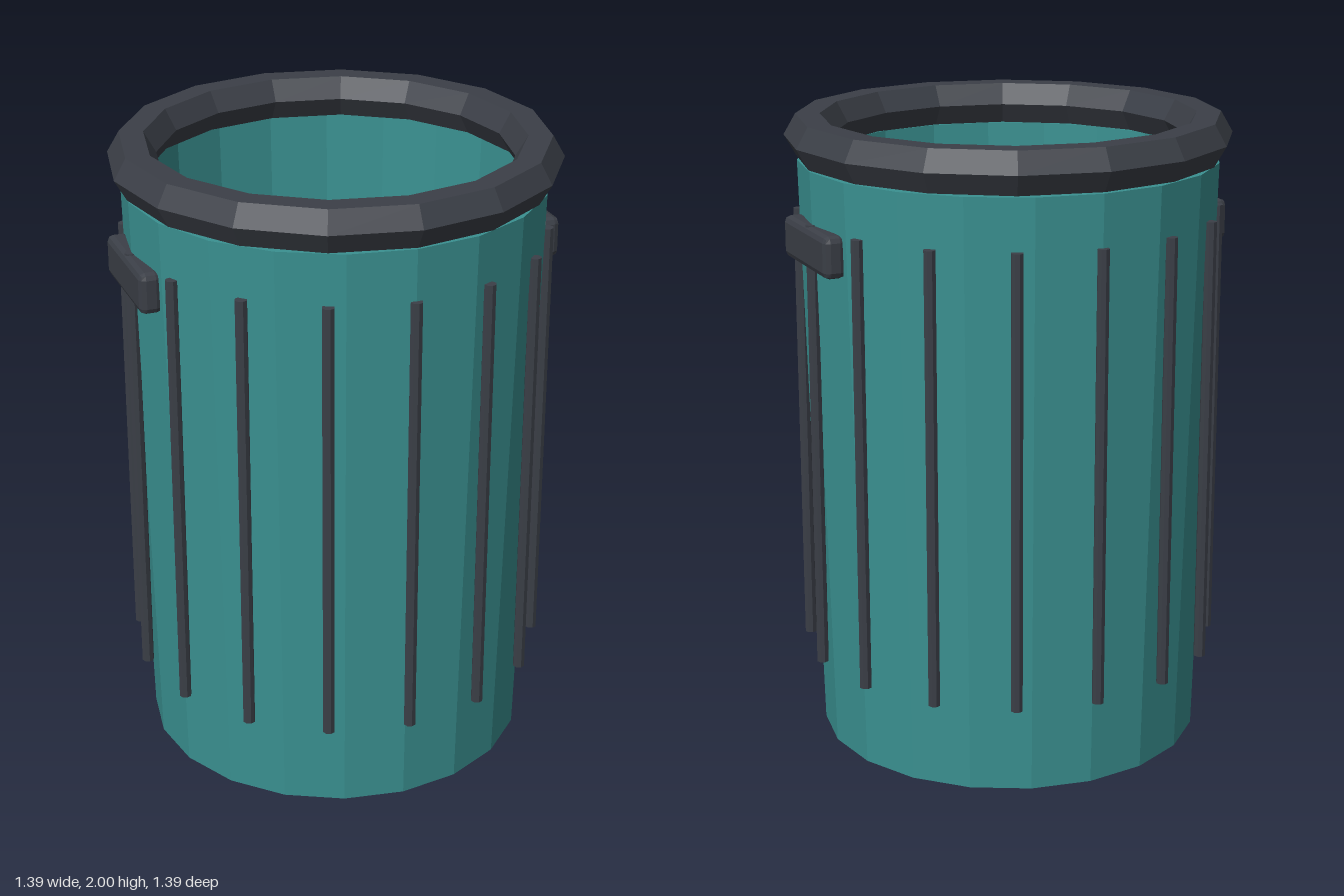
import * as THREE from 'three';
import { RoundedBoxGeometry } from 'three/addons/geometries/RoundedBoxGeometry.js';

export function createModel() {
  const model = new THREE.Group();
  model.name = 'trashCan';

  const flat = (name, color) => {
    const m = new THREE.MeshStandardMaterial({ color, flatShading: true });
    m.name = name;
    return m;
  };
  const teal = flat('teal', 0x3a9191);
  const charcoal = flat('charcoal', 0x3b3f47);

  const add = (name, geometry, material, x = 0, y = 0, z = 0) => {
    const mesh = new THREE.Mesh(geometry, material);
    mesh.name = name;
    mesh.position.set(x, y, z);
    model.add(mesh);
    return mesh;
  };

  // Tapered bin: underside, outer wall, lip and inner wall in one profile
  const profile = [[0, 0], [0.61, 0], [0.655, 1.865], [0.6, 1.865], [0.542, 0.05]]
    .map(([r, y]) => new THREE.Vector2(r, y));
  add('body', new THREE.LatheGeometry(profile, 20), teal);

  // Inside floor
  add('floor', new THREE.CircleGeometry(0.542, 20).rotateX(-Math.PI / 2), charcoal, 0, 0.05, 0);

  // Rim with a hexagonal section
  add('rim', new THREE.TorusGeometry(0.62, 0.075, 6, 16).rotateX(Math.PI / 2), charcoal, 0, 1.935, 0);

  // Upright ribs around the wall
  const rib = new THREE.CylinderGeometry(0.019, 0.019, 1.42, 8);
  for (let i = 0; i < 16; i++) {
    const a = (i / 16) * Math.PI * 2;
    add('rib', rib, charcoal, Math.sin(a) * 0.653, 0.995, Math.cos(a) * 0.653);
  }

  // Chamfered handles on both sides
  const handle = new RoundedBoxGeometry(0.07, 0.13, 0.37, 1, 0.02);
  add('leftHandle', handle, charcoal, 0.645, 1.638, 0);
  add('rightHandle', handle, charcoal, -0.645, 1.638, 0);

  return model;
}
